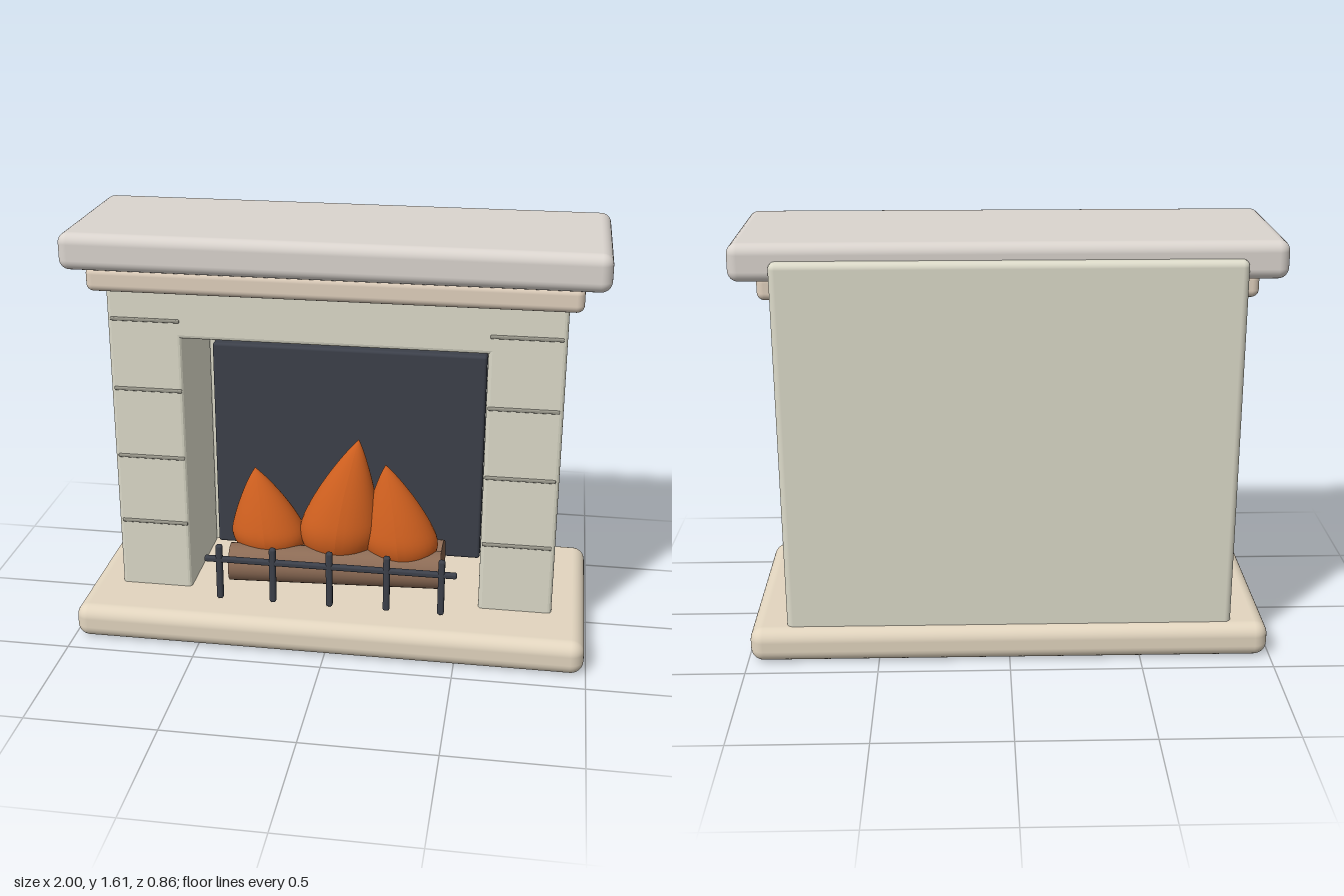
import * as THREE from 'three';
import { RoundedBoxGeometry } from 'three/addons/geometries/RoundedBoxGeometry.js';

const mat = (color) => new THREE.MeshStandardMaterial({ color });
const stone = mat(0xdcdac9);
const hearthStone = mat(0xe2d5bf);
const trimStone = mat(0xe0d0bd);
const mantelStone = mat(0xdad4ce);
const jointGrey = mat(0x98968a);
const iron = mat(0x3c404a);
const bark = mat(0x8d6c56);
const cutWood = mat(0x7d5b45);
const fire = mat(0xd0601f);

// Rounded block given by its min and max corners
function block(name, [x0, y0, z0], [x1, y1, z1], radius, material) {
  const geo = new RoundedBoxGeometry(x1 - x0, y1 - y0, z1 - z0, 4, radius);
  const mesh = new THREE.Mesh(geo, material);
  mesh.position.set((x0 + x1) / 2, (y0 + y1) / 2, (z0 + z1) / 2);
  mesh.name = name;
  return mesh;
}

// Two pillars and a lintel in one bevelled extrusion
function surround() {
  const pts = [
    [-0.86, 0.1], [-0.575, 0.1], [-0.575, 1.185], [0.575, 1.185],
    [0.575, 0.1], [0.86, 0.1], [0.86, 1.42], [-0.86, 1.42],
  ].map(([x, y]) => new THREE.Vector2(x, y));
  const b = 0.015;
  const geo = new THREE.ExtrudeGeometry(new THREE.Shape(pts), {
    depth: 0.45 - 2 * b, bevelEnabled: true, bevelSize: b,
    bevelThickness: b, bevelOffset: -b, bevelSegments: 3,
  });
  geo.translate(0, 0, -0.26 + b);
  const mesh = new THREE.Mesh(geo, stone);
  mesh.name = 'surround';
  return mesh;
}

// Teardrop of revolution, flattened in depth, with its tip leaning sideways
function flame(x, bottom, width, height, lean) {
  const curve = new THREE.SplineCurve([
    [0, 0], [0.27, 0.025], [0.44, 0.13], [0.5, 0.27], [0.43, 0.45],
    [0.29, 0.67], [0.13, 0.87], [0, 1],
  ].map(([r, y]) => new THREE.Vector2(r, y)));
  const profile = curve.getPoints(32).map((p) => new THREE.Vector2(Math.max(p.x, 0), p.y));
  const geo = new THREE.LatheGeometry(profile, 32);
  geo.scale(width, height, width * 0.7);
  const pos = geo.attributes.position;
  for (let i = 0; i < pos.count; i++) {
    const t = Math.max(0, pos.getY(i) / height);
    pos.setX(i, pos.getX(i) + lean * Math.pow(t, 1.6));
  }
  geo.computeVertexNormals();
  const mesh = new THREE.Mesh(geo, fire);
  mesh.position.set(x, bottom, 0.07);
  mesh.name = 'flame';
  return mesh;
}

// Log lying along x, slightly turned
function log(z, yaw) {
  const geo = new THREE.CylinderGeometry(0.075, 0.075, 0.84, 28);
  geo.rotateZ(Math.PI / 2);
  const mesh = new THREE.Mesh(geo, [bark, cutWood, cutWood]);
  mesh.position.set(0, 0.245, z);
  mesh.rotation.y = yaw;
  mesh.name = 'log';
  return mesh;
}

export function createModel() {
  const model = new THREE.Group();
  model.name = 'fireplace';

  // Masonry
  model.add(
    block('hearth', [-0.99, 0, -0.43], [0.99, 0.135, 0.43], 0.05, hearthStone),
    surround(),
    block('backWall', [-0.85, 0.1, -0.385], [0.85, 1.545, -0.255], 0.025, stone),
    block('firebackPlate', [-0.555, 0.148, -0.27], [0.555, 1.04, -0.2], 0.012, iron),
    block('mantelTrim', [-0.91, 1.38, -0.27], [0.91, 1.475, 0.275], 0.028, trimStone),
    block('mantelShelf', [-1, 1.465, -0.35], [1, 1.605, 0.31], 0.04, mantelStone),
  );

  // Joint strips across both pillars
  const joints = new THREE.Group();
  joints.name = 'pillarJoints';
  for (const side of [-1, 1]) {
    for (let i = 0; i < 4; i++) {
      const strip = block('joint', [-0.133, -0.007, -0.007], [0.133, 0.007, 0.007], 0.005, jointGrey);
      strip.position.set(side * 0.714, 0.415 + i * 0.28, 0.19);
      joints.add(strip);
    }
  }
  model.add(joints);

  // Fire
  const blaze = new THREE.Group();
  blaze.name = 'fire';
  blaze.add(
    log(0.13, 0.06),
    log(-0.02, -0.06),
    flame(-0.27, 0.245, 0.3, 0.38, -0.06),
    flame(0, 0.245, 0.32, 0.525, 0.085),
    flame(0.26, 0.235, 0.3, 0.435, -0.07),
  );
  model.add(blaze);

  // Iron grate
  const grate = new THREE.Group();
  grate.name = 'grate';
  grate.add(block('rail', [-0.495, 0.304, 0.266], [0.495, 0.327, 0.29], 0.008, iron));
  for (const x of [-0.436, -0.224, 0, 0.224, 0.436]) {
    grate.add(block('bar', [x - 0.013, 0.145, 0.265], [x + 0.013, 0.378, 0.291], 0.009, iron));
  }
  model.add(grate);

  return model;
}
